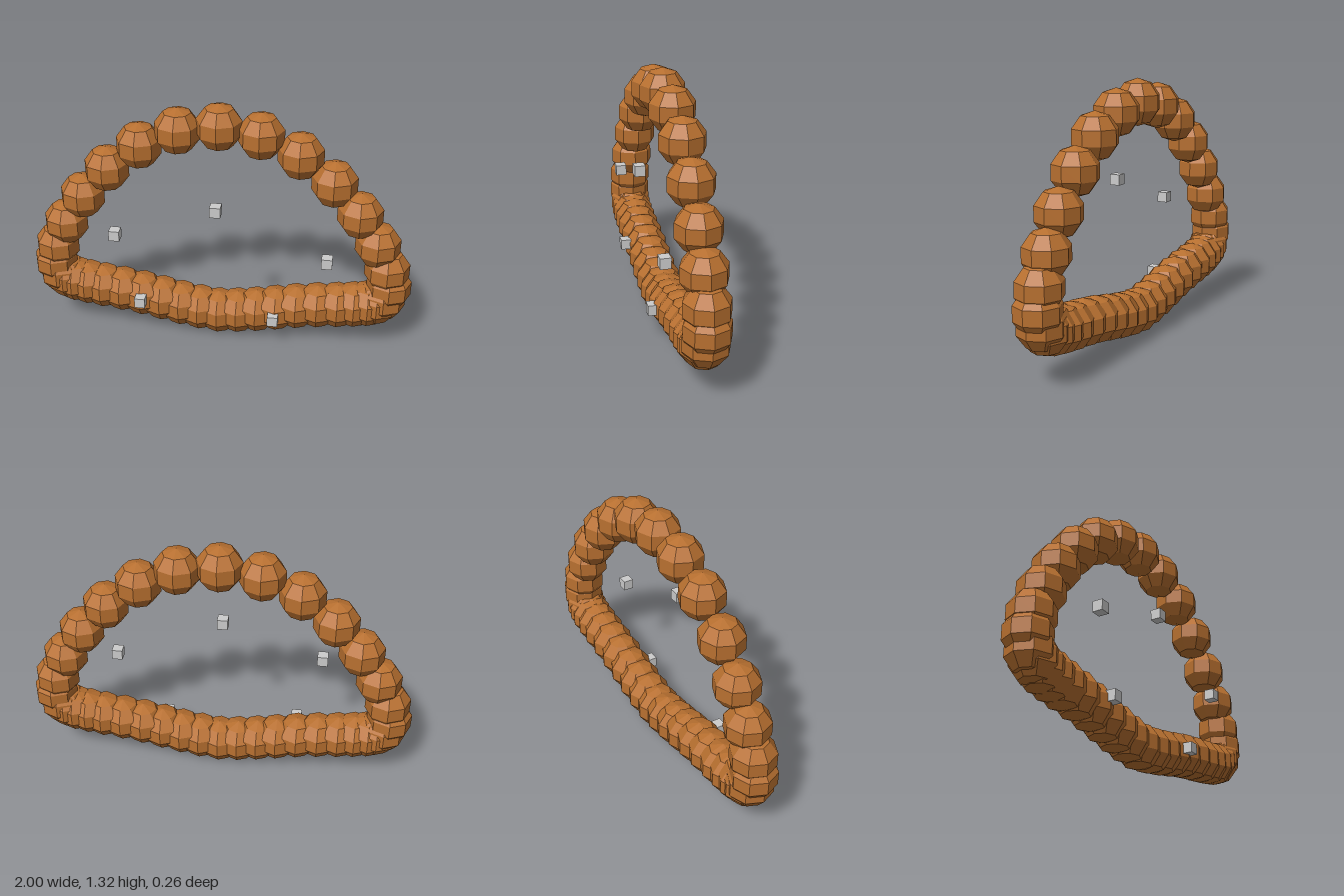
import * as THREE from 'three';

export function createModel() {
  const model = new THREE.Group();
  const brown = new THREE.MeshStandardMaterial({ color: 0xb87030, flatShading: true });
  brown.name = 'warm brown';
  const grey = new THREE.MeshStandardMaterial({ color: 0xcccccc, flatShading: true });
  grey.name = 'light grey';

  const beadGeometry = new THREE.SphereGeometry(0.12, 8, 5);
  const cubeGeometry = new THREE.BoxGeometry(0.055, 0.055, 0.055);

  // Right half of each run of beads as [x, y], starting on the centre line
  const arch = [
    [0, 1.2], [0.207, 1.167], [0.402, 1.075], [0.573, 0.935], [0.71, 0.77],
    [0.81, 0.605], [0.868, 0.463], [0.885, 0.36], [0.862, 0.29],
  ];
  const base = [
    [0, 0.12], [0.103, 0.13], [0.205, 0.147], [0.308, 0.168], [0.415, 0.19],
    [0.525, 0.207], [0.63, 0.22], [0.715, 0.232], [0.785, 0.245], [0.83, 0.262],
  ];

  // Mirror each half run across the centre line
  function addBeads(name, points) {
    const run = new THREE.Group();
    run.name = name;
    for (const [x, y] of points) {
      for (const side of x === 0 ? [1] : [1, -1]) {
        const bead = new THREE.Mesh(beadGeometry, brown);
        bead.name = 'bead';
        bead.position.set(side * x, y, -0.016);
        run.add(bead);
      }
    }
    model.add(run);
  }
  addBeads('archBeads', arch);
  addBeads('baseBeads', base);

  // Small loose cubes in front of the ring
  const cubes = new THREE.Group();
  cubes.name = 'floatingCubes';
  for (const [x, y] of [[-0.52, 0.62], [0, 0.8], [0.563, 0.553], [-0.403, 0.217], [0.301, 0.173]]) {
    const cube = new THREE.Mesh(cubeGeometry, grey);
    cube.name = 'cube';
    cube.position.set(x, y, 0.104);
    cubes.add(cube);
  }
  model.add(cubes);
  return model;
}
